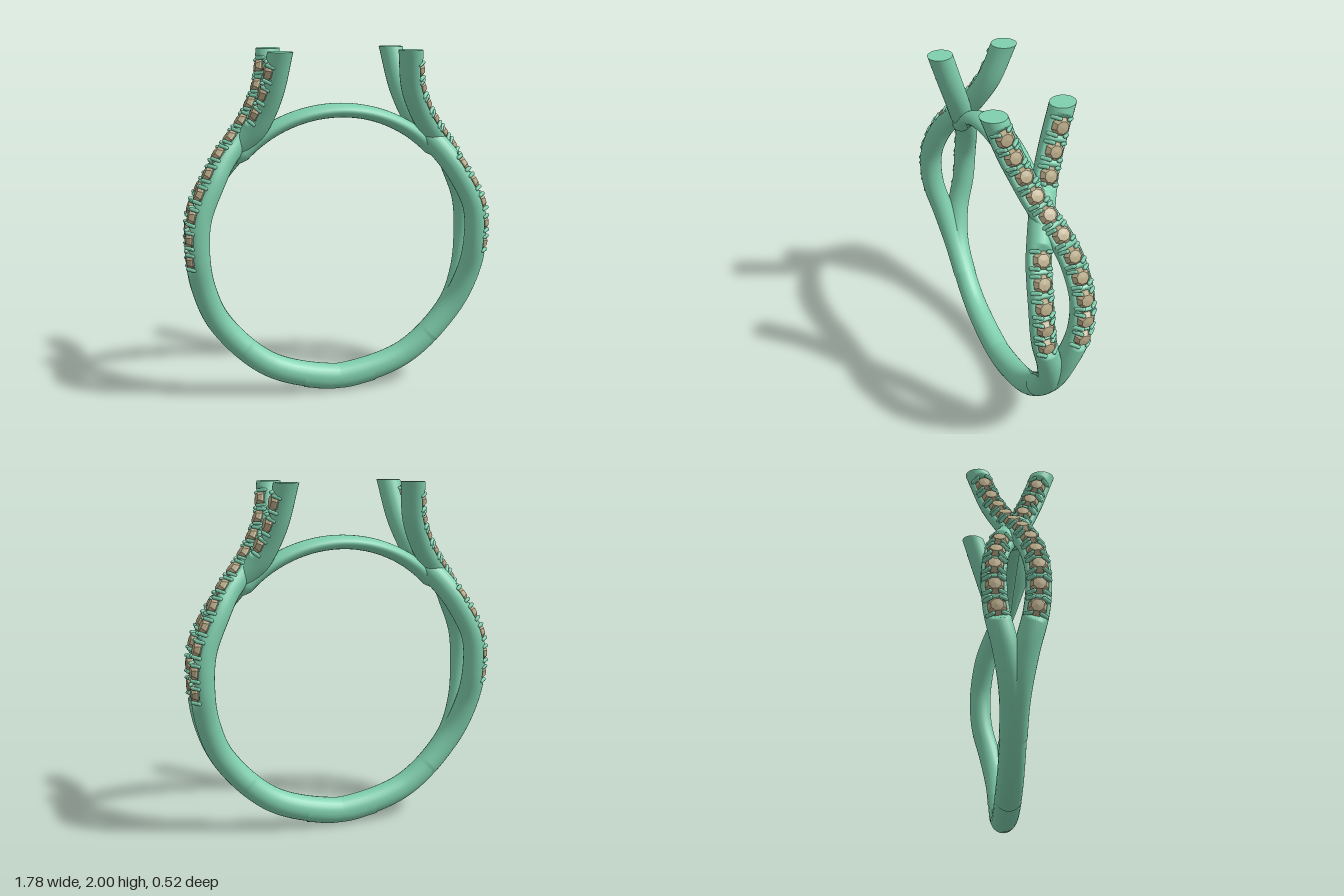
import * as THREE from 'three';

const metal = new THREE.MeshStandardMaterial({ color: 0x7fcfae });
const gem = new THREE.MeshStandardMaterial({ color: 0xb8aa88, flatShading: true });
const V = (x, y, z) => new THREE.Vector3(x, y, z);
const CY = 0.885; // centre height of the finger hole

// Closed skin over rings; ring(t, a) returns a point, a running anticlockwise round the path
function loft(ring, rows, cols) {
  const pos = [], idx = [];
  for (let i = 0; i <= rows; i++)
    for (let j = 0; j < cols; j++) pos.push(...ring(i / rows, (j / cols) * Math.PI * 2).toArray());
  for (let i = 0; i < rows; i++)
    for (let j = 0; j < cols; j++) {
      const k = (j + 1) % cols, a = i * cols + j, b = i * cols + k;
      idx.push(a, b, a + cols, b, b + cols, a + cols);
    }
  const geo = new THREE.BufferGeometry();
  geo.setAttribute('position', new THREE.Float32BufferAttribute(pos, 3));
  geo.setIndex(idx);
  geo.computeVertexNormals();
  return geo;
}

function add(parent, name, geo, mat) {
  const m = new THREE.Mesh(geo, mat);
  m.name = name;
  parent.add(m);
  return m;
}

// Path of one strand: dx moves it out or in where the strands cross, s picks the side
function strandCurve(dx, s) {
  const pts = [];
  for (const [deg, z] of [[-105, 0], [-90, 0], [-60, 0], [-32, 0.01], [-15, 0.05], [0, 0.1]]) {
    const a = THREE.MathUtils.degToRad(deg);
    pts.push(V(Math.cos(a) * 0.81 + (deg === 0 ? dx * 0.3 : 0), CY + Math.sin(a) * 0.81, z * s));
  }
  for (const [x, y, z, k] of [
    [0.795, 1.1, 0.112, 0.4], [0.705, 1.3, 0.085, 0.7], [0.635, 1.41, 0.045, 1], [0.558, 1.5, 0, 1],
    [0.495, 1.58, -0.037, 0.9], [0.44, 1.68, -0.075, 0.5], [0.395, 1.8, -0.12, 0.1], [0.36, 2, -0.187, 0],
  ]) pts.push(V(x + dx * k, y, z * s));
  return new THREE.CatmullRomCurve3(pts);
}

// Position, direction, outward and sideways axes at u along a strand
function frameAt(curve, u) {
  const p = curve.getPointAt(u), t = curve.getTangentAt(u);
  const out = V(t.y, -t.x, 0).normalize();
  return { p, t, out, side: t.clone().cross(out) };
}

function uAtHeight(curve, y) {
  let lo = 0.2, hi = 1;
  for (let i = 0; i < 30; i++) {
    const mid = (lo + hi) / 2;
    if (curve.getPointAt(mid).y < y) lo = mid; else hi = mid;
  }
  return lo;
}

function buildStrand(name, dx, s, runs) {
  const group = new THREE.Group();
  group.name = name;
  const curve = strandCurve(dx, s);

  // Evenly spaced stone positions for every run [from height, to height, count]
  const stones = [];
  for (const [y0, y1, n] of runs) {
    const a = uAtHeight(curve, y0), b = uAtHeight(curve, y1);
    for (let i = 0; i < n; i++) stones.push(a + ((b - a) * i) / (n - 1));
  }
  const len = curve.getLength();

  // Round bar, scalloped on its outer face under each stone and cut level at the top
  const rows = 280, cols = 24, frames = [];
  for (let i = 0; i <= rows; i++) {
    const u = i / rows, f = frameAt(curve, u);
    const d = Math.min(...stones.map((v) => Math.abs(v - u) * len));
    f.limit = d > 0.066 ? 1 : 0.03 + 0.022 * THREE.MathUtils.smoothstep(d, 0.035, 0.06);
    f.r = THREE.MathUtils.lerp(0.075, 0.067, THREE.MathUtils.smoothstep(u, 0.1, 0.45));
    frames.push(f);
  }
  const ring = (u, a) => {
    const f = frames[Math.round(u * rows)];
    const v = f.p.clone()
      .addScaledVector(f.out, Math.min(Math.cos(a) * f.r, f.limit))
      .addScaledVector(f.side, Math.sin(a) * f.r * (u < 0.3 ? 0.95 : 1));
    if (v.y > 2 || u === 1) v.addScaledVector(f.t, (2 - v.y) / f.t.y);
    return v;
  };
  add(group, 'strandBar', loft(ring, rows, cols), metal);

  // Flat end face
  const end = curve.getPointAt(1);
  const capRing = (t, a) => ring(1, a).lerp(end, t);
  add(group, 'strandEnd', loft(capRing, 1, cols), metal);

  // Faceted stones with four claws each
  const stoneGeo = new THREE.LatheGeometry(
    [[0, 0], [0.035, 0.015], [0.051, 0.036], [0.05, 0.045], [0.034, 0.066], [0, 0.07]].map(([x, y]) => new THREE.Vector2(x, y)), 8);
  const clawGeo = new THREE.CapsuleGeometry(0.011, 0.042, 3, 8);
  for (const u of stones) {
    const f = frameAt(curve, u);
    const setting = new THREE.Group();
    setting.name = 'stoneSetting';
    setting.position.copy(f.p);
    // local x = sideways, y = outward, z = along the strand
    setting.quaternion.setFromRotationMatrix(new THREE.Matrix4().makeBasis(f.side.clone().negate(), f.out, f.t.clone()));
    if (setting.quaternion.length() === 0) setting.quaternion.identity();
    add(setting, 'stone', stoneGeo, gem).rotation.y = Math.PI / 8;
    for (const i of [-1, 1])
      for (const j of [-1, 1]) {
        const claw = add(setting, 'claw', clawGeo, metal);
        claw.position.set(i * 0.04, 0.046, j * 0.043);
        claw.rotation.z = i * 0.75;
      }
    group.add(setting);
  }
  return group;
}

export function createModel() {
  const model = new THREE.Group();
  model.name = 'ring';

  // Each side has an outer strand crossing over an inner one; the far side is the same turned half round
  for (const [name, turn] of [['leftShoulder', 0], ['rightShoulder', Math.PI]]) {
    const shoulder = new THREE.Group();
    shoulder.name = name;
    shoulder.add(buildStrand('overStrand', 0.024, -1, [[0.88, 1.89, 11]]));
    shoulder.add(buildStrand('underStrand', -0.02, 1, [[0.88, 1.32, 5], [1.65, 1.89, 3]]));
    shoulder.rotation.y = turn;
    model.add(shoulder);
  }

  // Flattened arch closing the top of the finger hole, widest in the middle
  const archRing = (t, a) => {
    const ang = THREE.MathUtils.degToRad(40 + 100 * t);
    const w = Math.sin(Math.PI * t);
    const close = Math.sqrt(Math.min(1, Math.min(t, 1 - t) / 0.05));
    const thick = (0.046 - 0.006 * w) * close, wide = (0.05 + 0.03 * w) * close;
    const r = 0.777 + Math.cos(a) * thick;
    return V(Math.cos(ang) * r, CY + Math.sin(ang) * r, -Math.sin(a) * wide);
  };
  add(model, 'topArch', loft(archRing, 80, 24), metal);

  return model;
}
